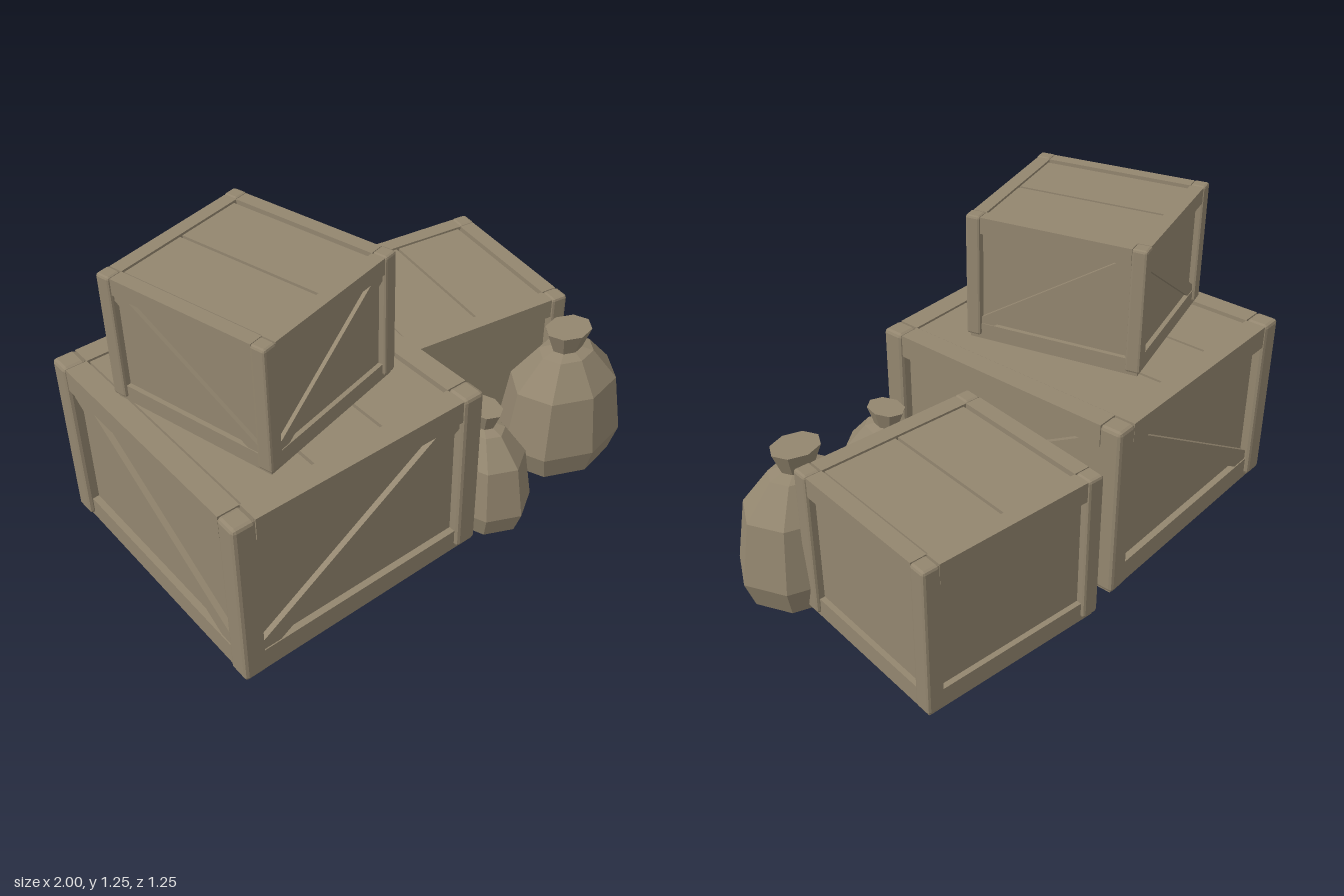
import * as THREE from 'three';
import { RoundedBoxGeometry } from 'three/addons/geometries/RoundedBoxGeometry.js';

const burlapWood = new THREE.MeshStandardMaterial({ color: 0x93866f, flatShading: true });
burlapWood.name = 'dusty wood';

function add(parent, name, geometry, x = 0, y = 0, z = 0) {
  const mesh = new THREE.Mesh(geometry, burlapWood);
  mesh.name = name;
  mesh.position.set(x, y, z);
  parent.add(mesh);
  return mesh;
}

// Diagonal board trimmed to fit the opening between posts and rails
function braceGeometry(halfW, y0, y1, cutX, cutY, depth) {
  const shape = new THREE.Shape([
    [-halfW, y0], [-halfW + cutX, y0], [halfW, y1 - cutY],
    [halfW, y1], [halfW - cutX, y1], [-halfW, y0 + cutY],
  ].map(([x, y]) => new THREE.Vector2(x, y)));
  return new THREE.ExtrudeGeometry(shape, { depth, bevelEnabled: false }).translate(0, 0, -depth / 2);
}

// Open-bottomed crate: posts, four framed walls and a planked lid
function crate({ name, w, h, d, post, rail, planks, braced }) {
  const group = new THREE.Group();
  group.name = name;
  const lip = post * 0.2;

  // Chamfered corner posts
  for (const sx of [-1, 1]) for (const sz of [-1, 1]) {
    add(group, 'cornerPost', new RoundedBoxGeometry(post, h - 0.015, post, 1, post * 0.16),
      sx * (w - post) / 2, (h + 0.015) / 2, sz * (d - post) / 2);
  }

  // Walls: front and back, then the two sides
  [[w, d, 0], [d, w, Math.PI / 2]].forEach(([span, across, turn]) => {
    const walls = new THREE.Group();
    walls.name = turn ? 'sideWalls' : 'frontAndBackWalls';
    walls.rotation.y = turn;
    group.add(walls);
    const inner = span - 2 * post;
    const bottomSpan = turn ? inner : span - 2 * lip;
    for (const s of [-1, 1]) {
      const at = (inset) => s * (across / 2 - inset);
      add(walls, 'topRail', new THREE.BoxGeometry(inner, rail, post - 0.006),
        0, h - 0.003 - rail / 2, at(post / 2 + 0.003));
      add(walls, 'bottomRail', new THREE.BoxGeometry(bottomSpan, rail, post - lip),
        0, rail / 2, at((post + lip) / 2));
      add(walls, 'wallPanel', new THREE.BoxGeometry(inner + 0.02, h - 2 * rail + 0.02, post * 0.2),
        0, h / 2, at(post * 0.6));
      if (braced) {
        add(walls, 'diagonalBrace',
          braceGeometry(inner / 2, rail, h - rail - 0.003, post * 0.85, post * 0.45, post * 0.66),
          0, 0, at(post * 0.58));
      }
    }
  });

  // Lid planks with open gaps between them
  const gap = 0.012;
  const innerW = w - 2 * post;
  const plankW = (innerW - gap * (planks + 1)) / planks;
  for (let i = 0; i < planks; i++) {
    add(group, 'lidPlank', new THREE.BoxGeometry(plankW, 0.03, d - 2 * post + 0.02),
      -innerW / 2 + gap + plankW / 2 + i * (plankW + gap), h - 0.027, 0);
  }
  return group;
}

// Eight-sided tied sack, oval in plan
function sack(name, rx, rz, scaleY) {
  const profile = [[0, 0], [0.86, 0], [1, 0.115], [0.84, 0.375], [0.43, 0.505],
    [0.24, 0.52], [0.365, 0.61], [0, 0.61]].map(([r, y]) => new THREE.Vector2(r, y));
  const group = new THREE.Group();
  group.name = name;
  add(group, 'sackBody', new THREE.LatheGeometry(profile, 8).scale(rx, scaleY, rz));
  return group;
}

export function createModel() {
  const model = new THREE.Group();
  model.name = 'cratesAndSacks';
  const place = (part, x, y, z, turn) => {
    part.position.set(x, y, z);
    part.rotation.y = turn;
    model.add(part);
  };
  place(crate({ name: 'largeCrate', w: 1.075, h: 0.74, d: 1.145, post: 0.092, rail: 0.093, planks: 3, braced: true }),
    -0.4625, 0, -0.04, 0);
  place(crate({ name: 'topCrate', w: 0.688, h: 0.515, d: 0.715, post: 0.06, rail: 0.065, planks: 2, braced: true }),
    -0.513, 0.74, -0.018, 0.246);
  place(crate({ name: 'sideCrate', w: 0.79, h: 0.638, d: 0.73, post: 0.072, rail: 0.082, planks: 2, braced: false }),
    0.515, 0, -0.205, -0.154);
  place(sack('smallSack', 0.176, 0.23, 0.825), 0.222, 0, 0.392, 0.05);
  place(sack('largeSack', 0.279, 0.22, 1), 0.722, 0, 0.347, -0.12);
  return model;
}
